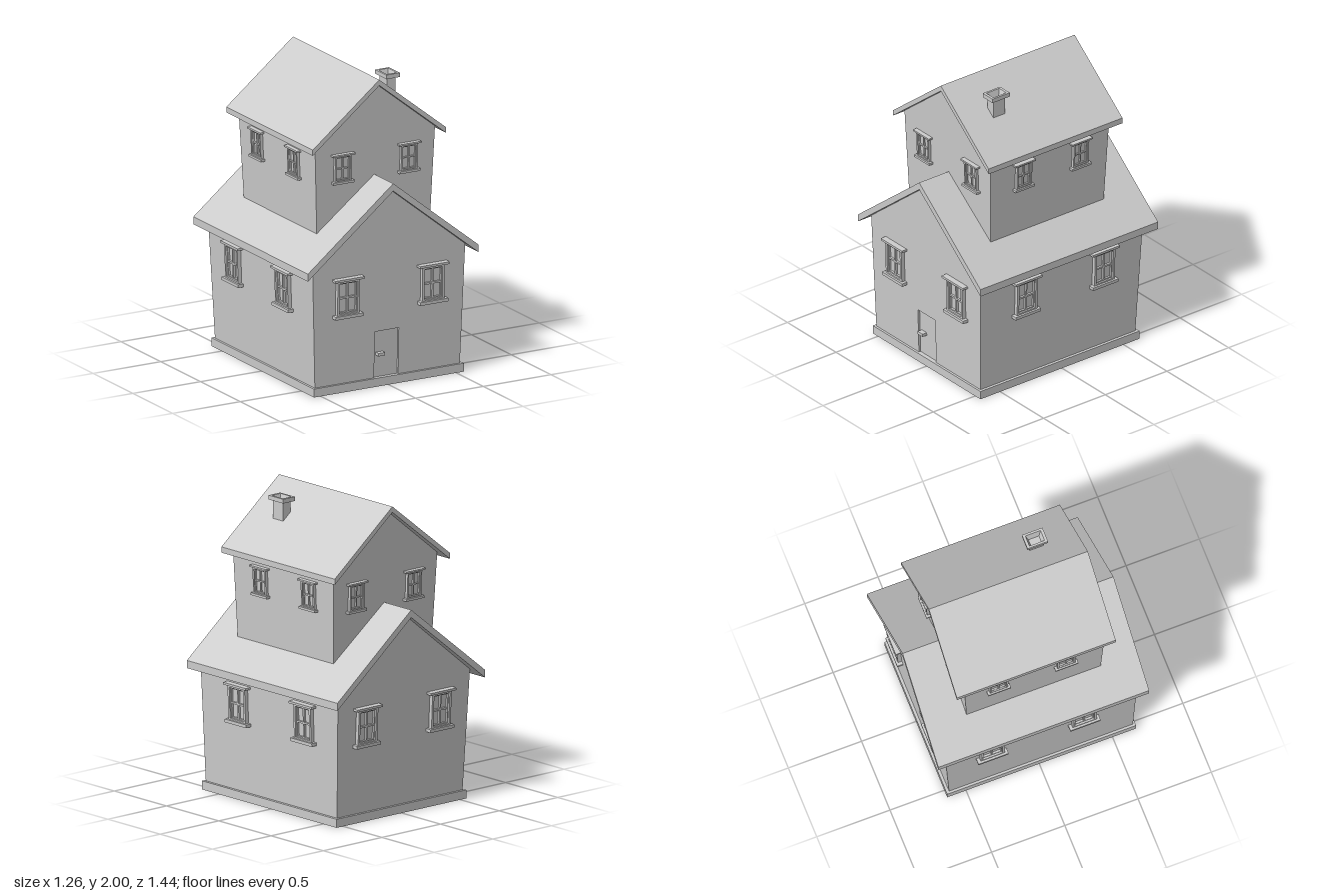
import * as THREE from 'three';

const material = new THREE.MeshStandardMaterial({ color: 0xcccccc, flatShading: true });

function add(parent, name, geometry, x = 0, y = 0, z = 0) {
  const mesh = new THREE.Mesh(geometry, material);
  mesh.name = name;
  mesh.position.set(x, y, z);
  parent.add(mesh);
  return mesh;
}
const box = (w, h, d) => new THREE.BoxGeometry(w, h, d);
const polygon = (points) => new THREE.Shape(points.map(([x, y]) => new THREE.Vector2(x, y)));
const rect = (x, y, w, h) =>
  polygon([[x - w / 2, y - h / 2], [x + w / 2, y - h / 2], [x + w / 2, y + h / 2], [x - w / 2, y + h / 2]]);
const extrude = (shape, depth) => new THREE.ExtrudeGeometry(shape, { depth, bevelEnabled: false });

// Each storey: wall half width, front and back given as [bottom, top] pairs between y0 and y1
const lower = {
  name: 'lower', y0: 0.05, y1: 0.855, half: [0.535, 0.563], front: [0.645, 0.665], back: [-0.61, -0.65],
  ridge: 1.355, thick: 0.05, eaveX: 0.63, eaveY: 0.85, roofZ: [-0.72, 0.72],
  windowY: 0.633, windowScale: 1, windowX: [-0.308, 0.318], windowZ: [0.3, -0.328],
  door: [-0.098, 0.08, 0.365],
};
const upper = {
  name: 'upper', y0: 1.0, y1: 1.613, half: [0.418, 0.443], front: [0.47, 0.49], back: [-0.445, -0.472],
  ridge: 2, thick: 0.038, eaveX: 0.492, eaveY: 1.608, roofZ: [-0.54, 0.545],
  windowY: 1.435, windowScale: 0.75, windowX: [-0.24, 0.248], windowZ: [0.224, -0.236],
};
const at = (s, pair, y) => pair[0] + (pair[1] - pair[0]) * (y - s.y0) / (s.y1 - s.y0);
const lean = (s, pair) => Math.atan(Math.abs(pair[1] - pair[0]) * Math.sign(Math.abs(pair[1]) - Math.abs(pair[0])) / (s.y1 - s.y0));

// Gabled wall block between depth fractions t0 and t1, leaning outwards towards the top
function wallGeometry(s, t0, t1, door) {
  const [b, e] = s.half;
  const notch = door
    ? [[door[0], s.y0], [door[0], door[2]], [door[1], door[2]], [door[1], s.y0]] : [];
  const g = extrude(polygon([[-b, s.y0], ...notch, [b, s.y0], [e, s.y1], [0, s.ridge - s.thick], [-e, s.y1]]), 1);
  const p = g.attributes.position;
  for (let i = 0; i < p.count; i++) {
    const y = p.getY(i), t = p.getZ(i) > 0.5 ? t1 : t0;
    p.setZ(i, THREE.MathUtils.lerp(at(s, s.back, y), at(s, s.front, y), t));
  }
  g.computeVertexNormals();
  return g;
}

// Window with raised frame, four panes, lintel and sill
function makeWindow(scale) {
  const g = new THREE.Group();
  g.name = 'window';
  const frame = rect(0, 0, 0.164, 0.246);
  frame.holes.push(rect(0, 0, 0.132, 0.204));
  add(g, 'windowFrame', extrude(frame, 0.032), 0, 0, -0.006);
  const bars = rect(0, 0, 0.134, 0.206);
  for (const x of [-1, 1]) for (const y of [-1, 1]) bars.holes.push(rect(x * 0.033, y * 0.05, 0.054, 0.088));
  add(g, 'windowBars', extrude(bars, 0.02), 0, 0, -0.006);
  add(g, 'lintel', box(0.217, 0.015, 0.046), 0, 0.124, 0.017);
  add(g, 'sill', box(0.206, 0.021, 0.046), 0, -0.122, 0.017);
  g.scale.setScalar(scale);
  return g;
}

function makeStorey(s) {
  const g = new THREE.Group();
  g.name = s.name + 'Storey';

  // Walls, with a thin front layer notched for the recessed door
  add(g, 'walls', wallGeometry(s, 0, s.door ? 0.989 : 1));
  if (s.door) add(g, 'frontWall', wallGeometry(s, 0.989, 1, s.door));

  // Folded roof slab
  const { ridge, thick, eaveX, eaveY, roofZ } = s;
  const chevron = polygon([[-eaveX, eaveY], [-eaveX, eaveY - thick], [0, ridge - thick],
    [eaveX, eaveY - thick], [eaveX, eaveY], [0, ridge]]);
  add(g, 'roof', extrude(chevron, roofZ[1] - roofZ[0]), 0, 0, roofZ[0]);

  // Two windows on every side
  const y = s.windowY;
  const place = (x, z, turn, tilt) => {
    const w = makeWindow(s.windowScale);
    w.position.set(x, y, z);
    w.rotation.set(tilt, turn, 0, 'YXZ');
    g.add(w);
  };
  for (const x of s.windowX) {
    place(x, at(s, s.front, y), 0, lean(s, s.front));
    place(x, at(s, s.back, y), Math.PI, lean(s, s.back));
  }
  for (const z of s.windowZ) for (const side of [-1, 1])
    place(side * at(s, s.half, y), z, side * Math.PI / 2, lean(s, s.half));
  return g;
}

// Surface through a stack of rectangles [halfX, halfZ, y], closed at the last one
function rectLoft(rings) {
  const pos = [], idx = [];
  rings.forEach(([w, d, y]) => pos.push(-w, y, d, w, y, d, w, y, -d, -w, y, -d));
  for (let r = 0; r < rings.length - 1; r++) for (let k = 0; k < 4; k++) {
    const a = r * 4 + k, b = r * 4 + (k + 1) % 4;
    idx.push(a, b, b + 4, a, b + 4, a + 4);
  }
  const n = (rings.length - 1) * 4;
  idx.push(n, n + 1, n + 2, n, n + 2, n + 3);
  const g = new THREE.BufferGeometry();
  g.setAttribute('position', new THREE.Float32BufferAttribute(pos, 3));
  g.setIndex(idx);
  const flat = g.toNonIndexed();
  flat.computeVertexNormals();
  return flat;
}

export function createModel() {
  const house = new THREE.Group();
  house.name = 'house';
  add(house, 'foundation', box(1.106, 0.056, 1.29), 0.002, 0.028, 0.016);
  house.add(makeStorey(lower), makeStorey(upper));

  // Door handle
  add(house, 'doorHandle', box(0.05, 0.02, 0.035), -0.055, 0.212, 0.652);

  // Chimney: shaft, projecting cap and tapered flue
  add(house, 'chimney', rectLoft([
    [0.031, 0.048, 1.74], [0.031, 0.048, 1.922], [0.05, 0.07, 1.922], [0.05, 0.07, 1.95],
    [0.036, 0.052, 1.95], [0.022, 0.036, 1.9],
  ]), 0.222, 0, 0.27);
  return house;
}
